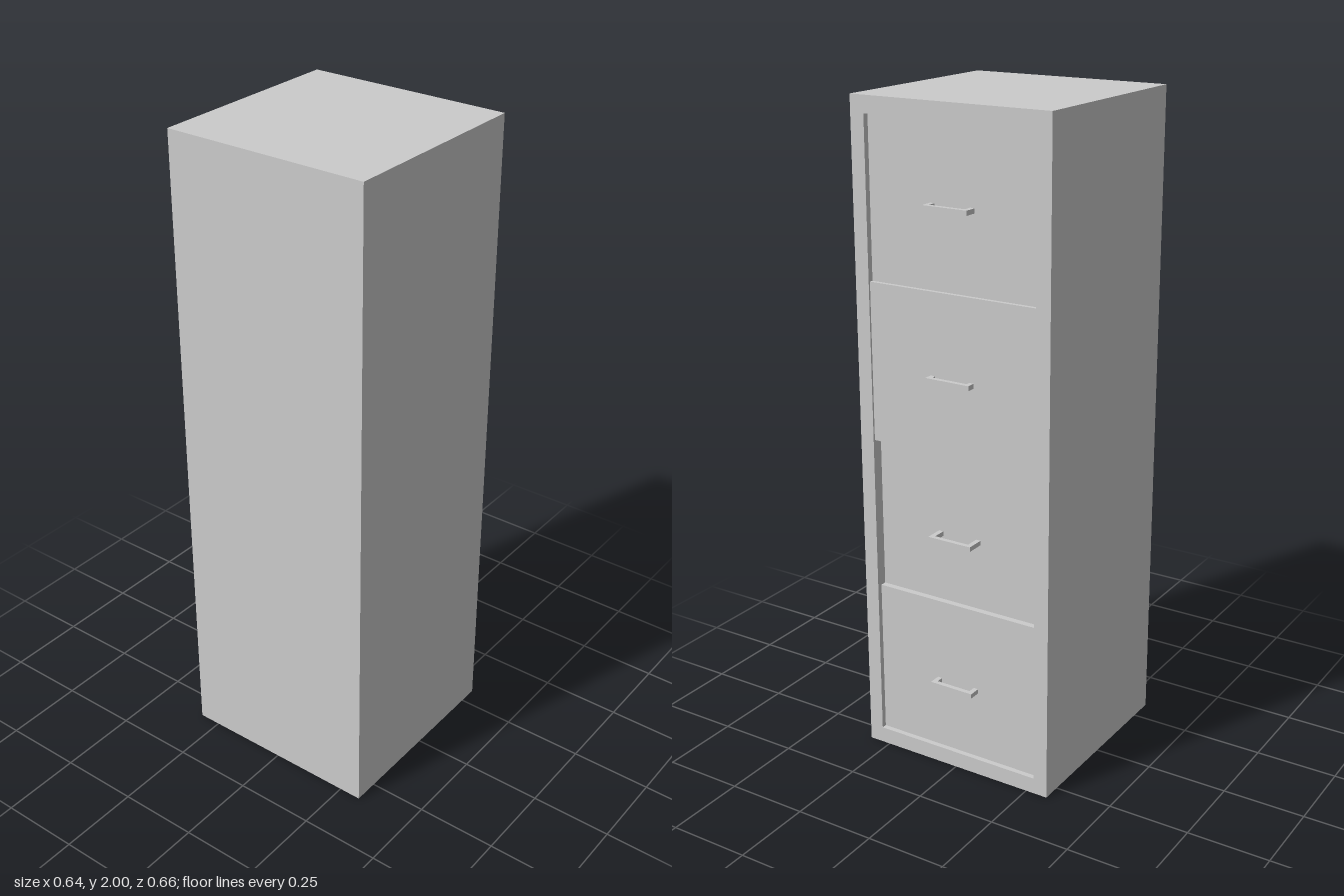
import * as THREE from 'three';

const grey = new THREE.MeshStandardMaterial({ color: 0xcccccc, flatShading: true });

const WIDTH = 0.64, HEIGHT = 2, FRONT = -0.31, BACK = 0.328;
const FRAME_DEPTH = 0.06;
const OPEN_X = 0.275, OPEN_BOTTOM = 0.05, OPEN_TOP = 1.95;

// Closed polygon from corner pairs
function polygon(points) {
  return points.map(([x, y]) => new THREE.Vector2(x, y));
}

function addMesh(parent, name, geometry, x, y, z) {
  const mesh = new THREE.Mesh(geometry, grey);
  mesh.name = name;
  mesh.position.set(x, y, z);
  parent.add(mesh);
  return mesh;
}

// Flat U-shaped pull, its legs reaching back to the drawer face
function handleGeometry(faceZ) {
  const outer = 0.072, inner = 0.057, tip = -0.331, grip = -0.317, thick = 0.014;
  const root = faceZ + 0.004;
  // Drawn with shape y = -z, then laid flat
  const shape = new THREE.Shape(polygon([
    [-outer, -root], [-inner, -root], [-inner, -grip], [inner, -grip],
    [inner, -root], [outer, -root], [outer, -tip], [-outer, -tip],
  ]));
  const geometry = new THREE.ExtrudeGeometry(shape, { depth: thick, bevelEnabled: false });
  geometry.translate(0, 0, -thick / 2);
  geometry.rotateX(-Math.PI / 2);
  return geometry;
}

export function createModel() {
  const cabinet = new THREE.Group();
  cabinet.name = 'filingCabinet';

  // Solid body behind the drawer fronts
  const bodyDepth = BACK - FRONT - FRAME_DEPTH;
  addMesh(cabinet, 'body', new THREE.BoxGeometry(WIDTH, HEIGHT, bodyDepth),
    0, HEIGHT / 2, BACK - bodyDepth / 2);

  // Frame around the drawer opening
  const w = WIDTH / 2;
  const frame = new THREE.Shape(polygon([[-w, 0], [w, 0], [w, HEIGHT], [-w, HEIGHT]]));
  frame.holes.push(new THREE.Path(polygon([
    [-OPEN_X, OPEN_BOTTOM], [-OPEN_X, OPEN_TOP], [OPEN_X, OPEN_TOP], [OPEN_X, OPEN_BOTTOM],
  ])));
  addMesh(cabinet, 'frame',
    new THREE.ExtrudeGeometry(frame, { depth: FRAME_DEPTH, bevelEnabled: false }), 0, 0, FRONT);

  // Four drawers, each set back by a slightly different amount
  const drawers = [
    { top: OPEN_TOP, bottom: 1.48, recess: 0.018, handleY: 1.717 },
    { top: 1.48, bottom: 1.005, recess: 0.006, handleY: 1.23 },
    { top: 1.005, bottom: 0.535, recess: 0.035, handleY: 0.747 },
    { top: 0.535, bottom: OPEN_BOTTOM, recess: 0.016, handleY: 0.273 },
  ];
  drawers.forEach(({ top, bottom, recess, handleY }, i) => {
    const drawer = new THREE.Group();
    drawer.name = `drawer${i + 1}`;
    const depth = FRAME_DEPTH - recess;
    const faceZ = FRONT + recess;
    addMesh(drawer, 'drawerFront', new THREE.BoxGeometry(OPEN_X * 2, top - bottom, depth),
      0, (top + bottom) / 2, faceZ + depth / 2);
    addMesh(drawer, 'drawerHandle', handleGeometry(faceZ), 0, handleY, 0);
    cabinet.add(drawer);
  });

  return cabinet;
}
